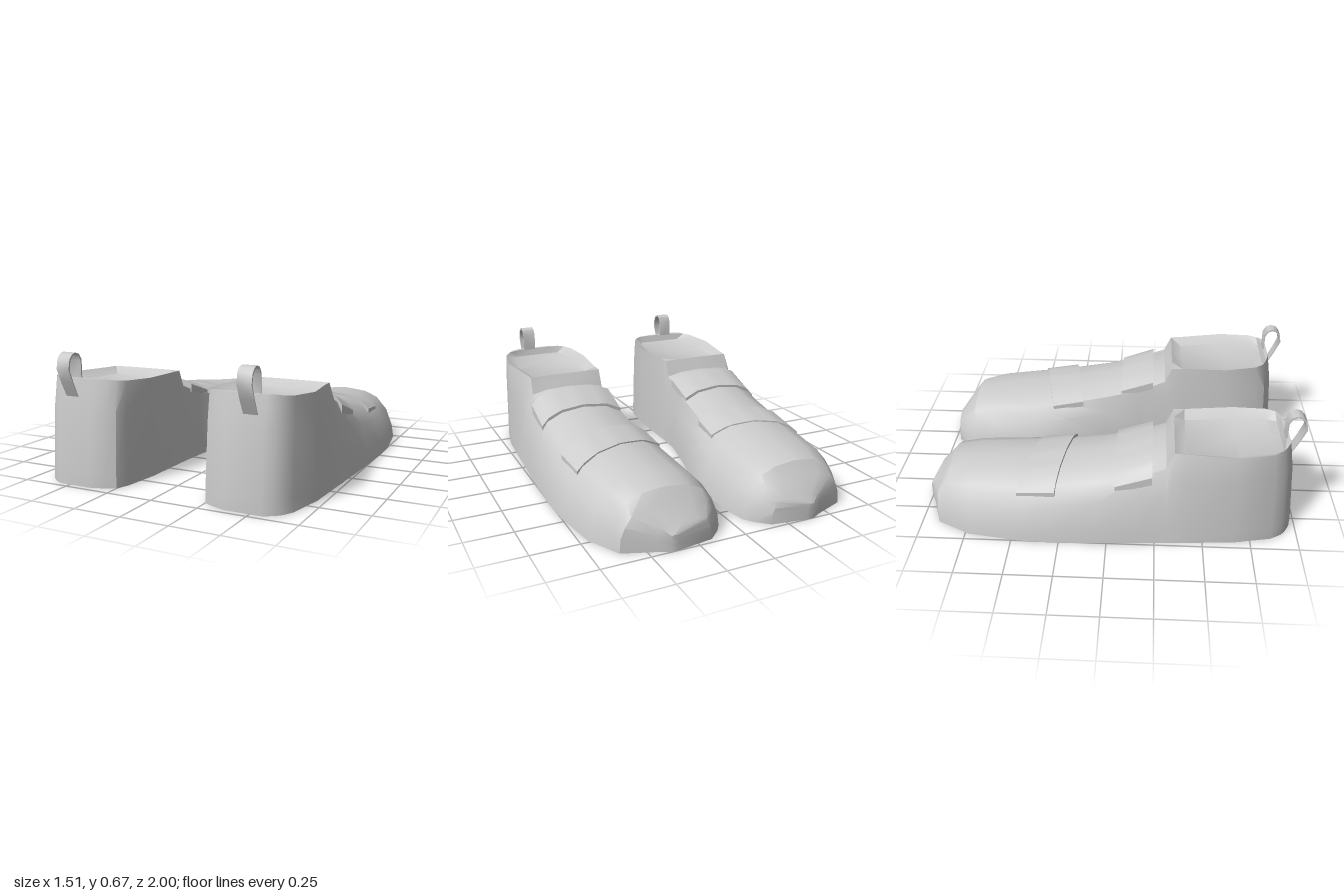
import * as THREE from 'three';
import { toCreasedNormals } from 'three/addons/utils/BufferGeometryUtils.js';

// Cross-sections from toe (-z) to heel (+z) of the left shoe:
// z, base inner x, base outer x, shoulder inner x, shoulder outer x, shoulder y, middle y
const SECTIONS = [
  [-1.0, 0.36, 0.40, 0.365, 0.395, 0.08, 0.085],
  [-0.97, 0.17, 0.46, 0.20, 0.44, 0.115, 0.125],
  [-0.91, 0.105, 0.62, 0.17, 0.56, 0.17, 0.20],
  [-0.86, 0.07, 0.645, 0.17, 0.56, 0.22, 0.268],
  [-0.73, 0.044, 0.71, 0.16, 0.60, 0.24, 0.295],
  [-0.46, 0.04, 0.75, 0.17, 0.63, 0.26, 0.325],
  [-0.30, 0.075, 0.757, 0.18, 0.64, 0.275, 0.335],
  [-0.05, 0.14, 0.75, 0.205, 0.645, 0.315, 0.375],
  [0.15, 0.185, 0.74, 0.215, 0.655, 0.36, 0.42],
  [0.30, 0.195, 0.73, 0.225, 0.65, 0.42, 0.445],
  [0.34, 0.195, 0.73, 0.225, 0.645, 0.51, 0.512],
  [0.40, 0.197, 0.725, 0.225, 0.65, 0.512, 0.475],
  [0.66, 0.20, 0.71, 0.205, 0.69, 0.52, 0.485],
  [0.86, 0.225, 0.67, 0.23, 0.66, 0.53, 0.50],
  [0.92, 0.25, 0.635, 0.26, 0.625, 0.535, 0.50],
  [0.945, 0.30, 0.605, 0.30, 0.60, 0.54, 0.54],
  [0.97, 0.37, 0.56, 0.37, 0.56, 0.54, 0.54],
];

const mix = THREE.MathUtils.lerp;

// One section as a row of points, from the inner base over the top to the outer base
function sectionRing([z, bi, bo, si, so, sy, ty]) {
  const recess = ty < sy;
  const u = recess ? 0.13 : 0.2;
  const qy = recess ? ty : mix(sy, ty, 0.72);
  const soleY = Math.min(0.07, sy * 0.5);
  const half = (b, s, q) => [
    [b, 0], [mix(b, s, 0.1), soleY], [mix(b, s, 0.46), sy * 0.72], [s, sy], [q, qy],
  ];
  const points = [
    ...half(bi, si, mix(si, so, u)),
    [(si + so) / 2, ty],
    ...half(bo, so, mix(so, si, u)).reverse(),
  ];
  // the heel leans forward towards its rim
  return points.map(([x, y]) => [x, y, z - Math.max(0, z - 0.7) * 0.19 * (y / 0.54) ** 2]);
}

// Height of the upper at x, z
function upperHeight(x, z) {
  const i = Math.max(1, SECTIONS.findIndex((s) => s[0] >= z));
  const [a, b] = [SECTIONS[i - 1], SECTIONS[i]];
  const t = (z - a[0]) / (b[0] - a[0]);
  const ring = sectionRing(a.map((v, k) => mix(v, b[k], t)));
  for (let k = 1; k < ring.length; k++) {
    const [p, q] = [ring[k - 1], ring[k]];
    if (x >= p[0] && x <= q[0]) return mix(p[1], q[1], (x - p[0]) / (q[0] - p[0] || 1));
  }
  return 0;
}

// Closed rings skinned in order and capped at both ends; side -1 mirrors in x
function loft(rings, side, crease) {
  const n = rings[0].length;
  const index = [];
  const tri = (a, b, c) => index.push(...(side > 0 ? [a, b, c] : [a, c, b]));
  for (let r = 0; r < rings.length - 1; r++) {
    for (let j = 0; j < n; j++) {
      const a = r * n + j, b = r * n + ((j + 1) % n);
      tri(a, a + n, b);
      tri(b, a + n, b + n);
    }
  }
  const last = (rings.length - 1) * n;
  for (let j = 0; j < n - 2 - j; j++) {
    const k = n - 2 - j;
    if (j + 1 < k) {
      tri(j, j + 1, k);
      tri(last + j, last + k, last + j + 1);
    }
    tri(j, k, k + 1);
    tri(last + j, last + k + 1, last + k);
  }
  const geometry = new THREE.BufferGeometry();
  const positions = rings.flat().flatMap(([x, y, z]) => [x * side, y, z]);
  geometry.setAttribute('position', new THREE.Float32BufferAttribute(positions, 3));
  geometry.setIndex(index);
  return toCreasedNormals(geometry, crease);
}

// Strap edge laid across the upper between two ends [x, z], raised by lift
function strapRing([x0, z0], [x1, z1], lift) {
  const top = [];
  const steps = 12;
  for (let i = 0; i <= steps; i++) {
    const t = i / steps;
    const x = mix(x0, x1, t), z = mix(z0, z1, t);
    top.push([x + (t - 0.5) * 0.02, upperHeight(x, z) + lift, z]);
  }
  const under = top.map(([x, y, z]) => [x, y - lift - 0.02, z]).reverse();
  return [...top, ...under];
}

// Heel pull loop: a thin closed band seen from the side
function loopRing(x) {
  const path = [
    [0.93, 0.44], [0.97, 0.52], [1.0, 0.59], [0.99, 0.64], [0.97, 0.662],
    [0.945, 0.67], [0.915, 0.66], [0.897, 0.63], [0.897, 0.5],
  ];
  const outer = path.map(([z, y]) => [x, y, z]);
  const inner = path.map(([z, y]) => [x, mix(y, 0.56, 0.08), mix(z, 0.945, 0.16)]).reverse();
  return [...outer, ...inner];
}

function createShoe(side, material) {
  const shoe = new THREE.Group();
  shoe.name = side > 0 ? 'leftShoe' : 'rightShoe';
  const add = (name, rings, crease) => {
    const mesh = new THREE.Mesh(loft(rings, side, crease), material);
    mesh.name = name;
    shoe.add(mesh);
  };
  add('shoeBody', SECTIONS.map(sectionRing), 0.6);
  add('ankleStrap', [
    strapRing([0.222, 0.04], [0.668, 0.04], 0.014),
    strapRing([0.222, 0.23], [0.668, 0.23], 0.027),
  ], 0.6);
  add('toeStrap', [
    strapRing([0.17, -0.37], [0.65, -0.47], 0.007),
    strapRing([0.185, -0.19], [0.665, -0.27], 0.014),
  ], 0.6);
  add('pullLoop', [loopRing(0.452), loopRing(0.525)], 0.7);
  return shoe;
}

export function createModel() {
  const model = new THREE.Group();
  model.name = 'shoes';
  const material = new THREE.MeshStandardMaterial({ color: 0xcccccc });
  for (const side of [1, -1]) model.add(createShoe(side, material));
  return model;
}
